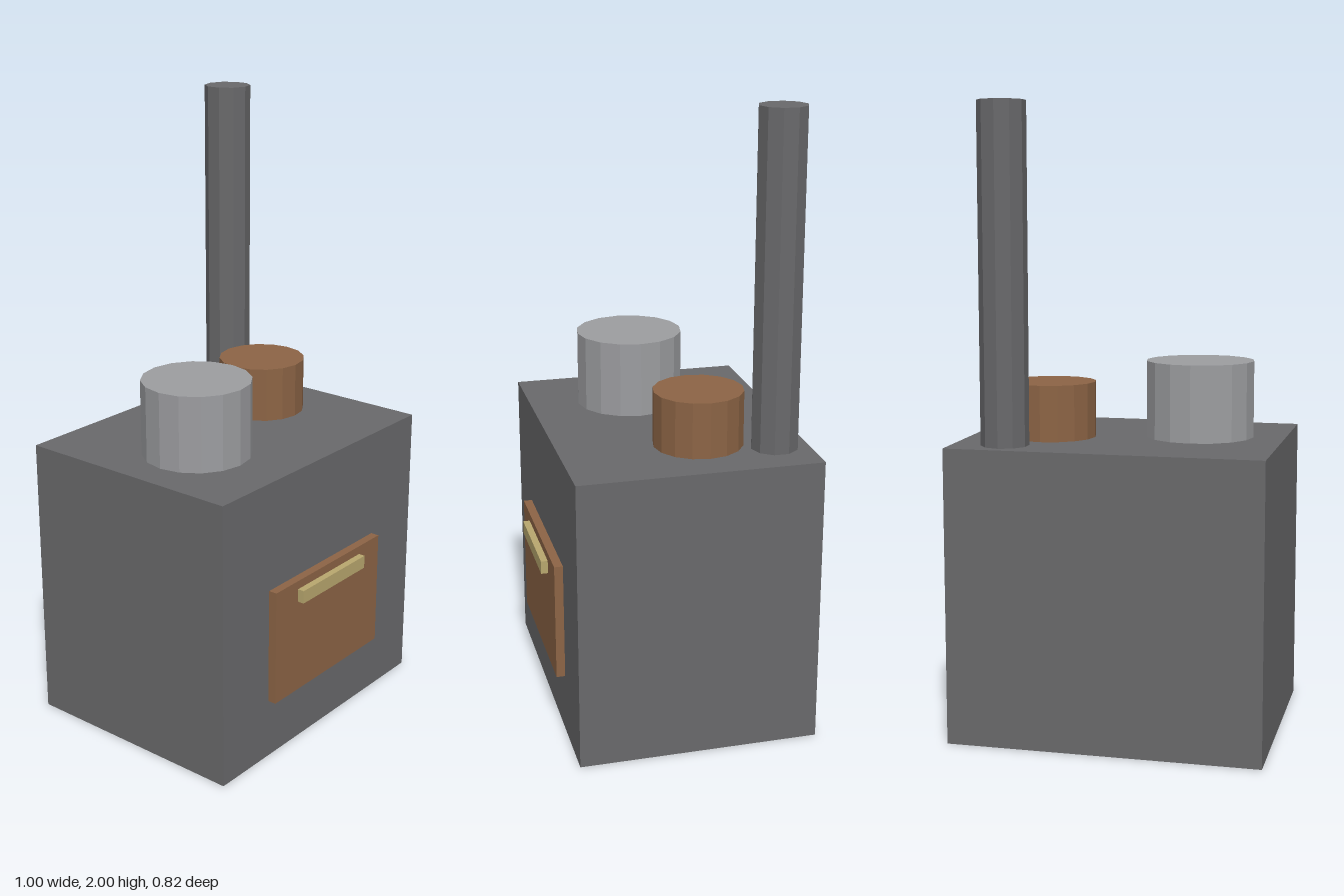
import * as THREE from 'three';

const paint = (name, color, flatShading = true) => {
  const m = new THREE.MeshStandardMaterial({ color, flatShading });
  m.name = name;
  return m;
};

export function createModel() {
  const stove = new THREE.Group();
  stove.name = 'stove';

  const iron = paint('castIron', 0x69696b);
  const copper = paint('copper', 0x8c6445);
  const steel = paint('steel', 0x9c9da0);
  const brass = paint('brass', 0xb8a76e);

  const add = (name, geometry, material, x, y, z) => {
    const mesh = new THREE.Mesh(geometry, material);
    mesh.name = name;
    mesh.position.set(x, y, z);
    stove.add(mesh);
  };

  // Box given by its minimum and maximum corners
  const box = (name, material, [x0, y0, z0], [x1, y1, z1]) =>
    add(name, new THREE.BoxGeometry(x1 - x0, y1 - y0, z1 - z0), material,
      (x0 + x1) / 2, (y0 + y1) / 2, (z0 + z1) / 2);

  // Upright faceted cylinder between two heights
  const drum = (name, material, radius, sides, x, z, y0, y1) =>
    add(name, new THREE.CylinderGeometry(radius, radius, y1 - y0, sides), material,
      x, (y0 + y1) / 2, z);

  const top = 0.944;

  // Firebox with its door and handle
  box('body', iron, [-0.5, 0, -0.412], [0.5, top, 0.362]);
  box('ovenDoor', copper, [-0.277, 0.2, 0.355], [0.277, 0.586, 0.39]);
  box('doorHandle', brass, [-0.166, 0.515, 0.385], [0.166, 0.558, 0.412]);

  // Pots and chimney standing on the hob
  drum('largePot', steel, 0.175, 16, -0.223, 0.028, top, 1.19);
  drum('smallPot', copper, 0.143, 16, 0.243, -0.082, top, 1.123);
  drum('chimney', iron, 0.0757, 10, 0.333, -0.304, top, 2);

  return stove;
}
